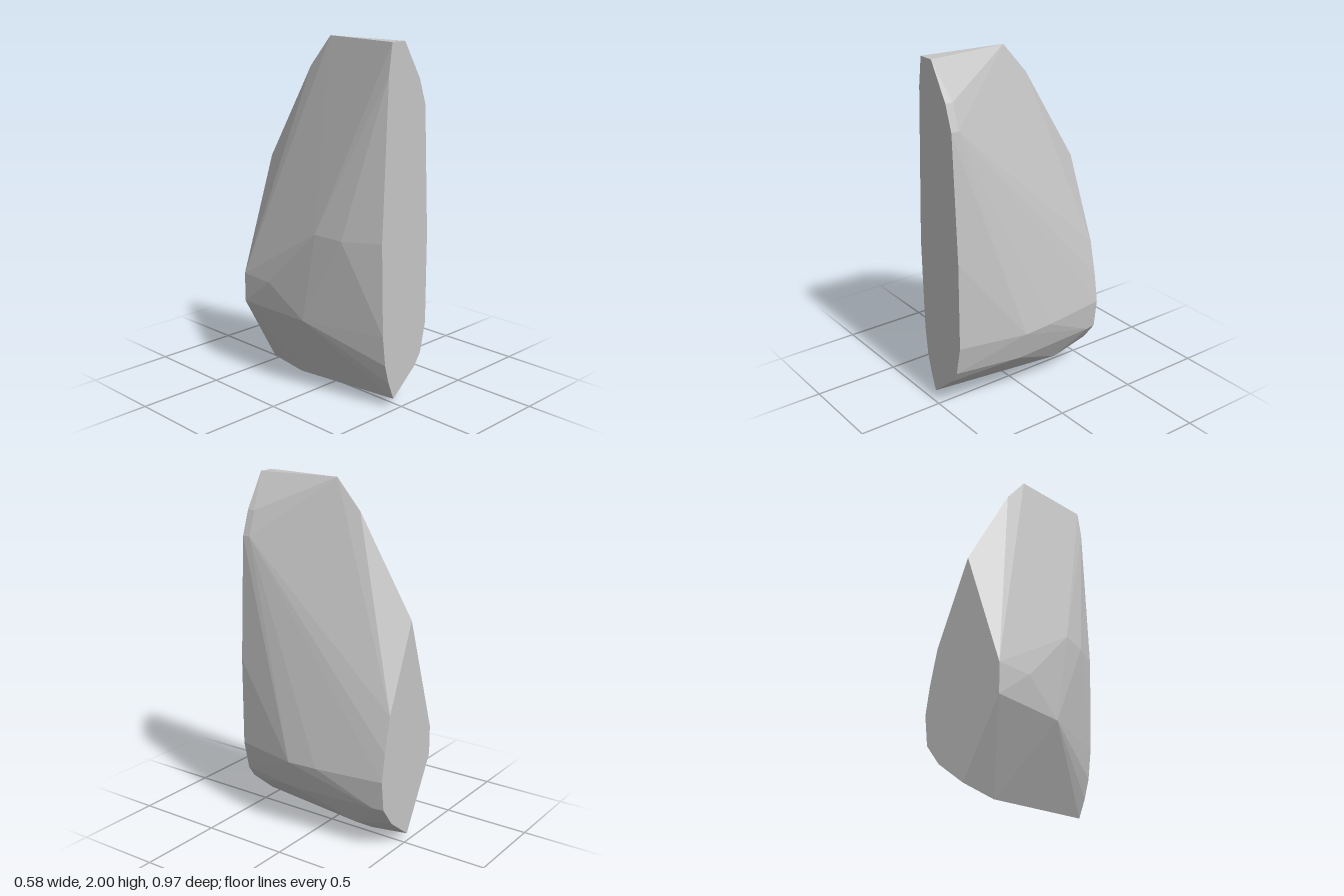
import * as THREE from 'three';
import { ConvexGeometry } from 'three/addons/geometries/ConvexGeometry.js';

export function createModel() {
  const stone = new THREE.MeshStandardMaterial({ color: 0xc5c5c5 });
  stone.name = 'light grey stone';

  // flat front cut, outline as x, y
  const frontCut = [
    [-0.095, 2], [0, 2], [0.12, 1.8], [0.168, 1.66], [0.205, 0.95], [0.205, 0.44],
    [0.168, 0.27], [0.12, 0.2], [-0.05, 0.057], [-0.09, 0.16], [-0.12, 0.27], [-0.14, 0.44],
    [-0.155, 0.96], [-0.118, 1.84],
  ];
  // flat back cut, outline as x, y
  const backCut = [
    [-0.05, 1.28], [0.15, 0.8], [0.195, 0.6], [0.22, 0.44], [0.2, 0.27],
    [0.115, 0.157], [-0.05, 0.03], [-0.275, 0.44], [-0.275, 0.61],
  ];
  // chipped corners between the two cuts
  const corners = [
    // crest
    [-0.05, 2, 0], [-0.05, 1.83, -0.15], [0.12, 1.8, 0.44], [0.168, 1.66, 0.44],
    // left flank
    [0.288, 0.44, 0.095], [0.275, 0.44, -0.085], [0.237, 0.27, 0.1], [0.21, 0.27, -0.42],
    // underside
    [0.12, 0.105, -0.25], [-0.05, 0, -0.25],
    // right flank
    [-0.27, 0.96, 0.1], [-0.242, 0.95, 0.27], [-0.29, 0.61, -0.26], [-0.27, 0.44, 0],
  ];

  const points = [
    ...frontCut.map(([x, y]) => new THREE.Vector3(x, y, 0.485)),
    ...backCut.map(([x, y]) => new THREE.Vector3(x, y, -0.485)),
    ...corners.map((c) => new THREE.Vector3(...c)),
  ];

  const rock = new THREE.Mesh(new ConvexGeometry(points), stone);
  rock.name = 'rock';

  const model = new THREE.Group();
  model.name = 'standing stone';
  model.add(rock);
  return model;
}
